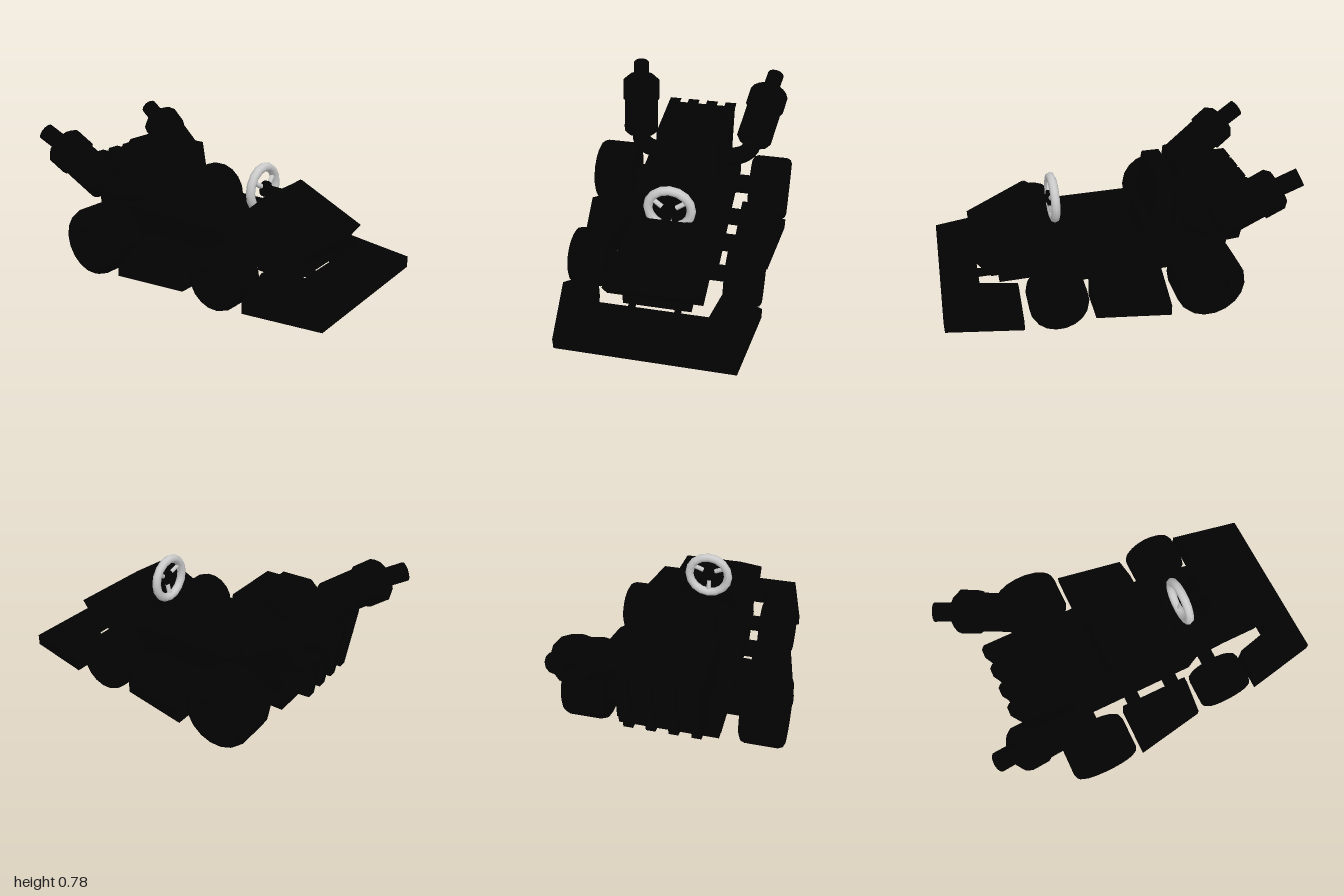
import * as THREE from 'three';

const dark = new THREE.MeshStandardMaterial({ color: 0x020202, flatShading: true });
const darkSmooth = new THREE.MeshStandardMaterial({ color: 0x020202 });
const grey = new THREE.MeshStandardMaterial({ color: 0xcccccc });
const V = (x, y, z) => new THREE.Vector3(x, y, z);

function add(parent, name, geometry, material = dark) {
  const mesh = new THREE.Mesh(geometry, material);
  mesh.name = name;
  parent.add(mesh);
  return mesh;
}

// Box given by its limits on each axis
function box(parent, name, [x0, x1], [y0, y1], [z0, z1]) {
  const g = new THREE.BoxGeometry(Math.abs(x1 - x0), y1 - y0, z1 - z0);
  g.translate((x0 + x1) / 2, (y0 + y1) / 2, (z0 + z1) / 2);
  return add(parent, name, g);
}

// Capped skin through rings with equal point counts, always turned outwards
function loft(rings) {
  const tris = [], n = rings[0].length, last = rings.length - 1;
  for (let i = 0; i < last; i++) {
    for (let j = 0; j < n; j++) {
      const k = (j + 1) % n, a = rings[i], b = rings[i + 1];
      tris.push([a[j], a[k], b[k]], [a[j], b[k], b[j]]);
    }
  }
  for (let j = 1; j < n - 1; j++) {
    tris.push([rings[0][0], rings[0][j + 1], rings[0][j]]);
    tris.push([rings[last][0], rings[last][j], rings[last][j + 1]]);
  }
  const vec = (p) => V(...p);
  const volume = tris.reduce((s, [a, b, c]) => s + vec(a).dot(vec(b).cross(vec(c))), 0);
  const flat = tris.flatMap(([a, b, c]) => (volume < 0 ? [a, c, b] : [a, b, c])).flat();
  const g = new THREE.BufferGeometry();
  g.setAttribute('position', new THREE.Float32BufferAttribute(flat, 3));
  g.computeVertexNormals();
  return g;
}

// Side profile of [z, y, halfWidth] spanned across the car
const across = (profile) => loft([-1, 1].map((s) => profile.map(([z, y, w]) => [s * w, y, z])));

// Cylinder between two points
function rod(parent, name, a, b, r0, r1 = r0, sides = 12, material = dark) {
  const d = b.clone().sub(a);
  const m = add(parent, name, new THREE.CylinderGeometry(r1, r0, d.length(), sides), material);
  m.position.copy(a).addScaledVector(d, 0.5);
  m.quaternion.setFromUnitVectors(V(0, 1, 0), d.normalize());
  return m;
}

// Tyre with a recessed hub on its outer face
function wheel(parent, name, s, x0, x1, r, z) {
  const h = (x1 - x0) / 2;
  const profile = [
    [0, -h + 0.03], [0.4 * r, -h + 0.03], [0.48 * r, -h], [0.84 * r, -h], [0.95 * r, -h + 0.01], [r, -h + 0.035],
    [r, h - 0.035], [0.95 * r, h - 0.01], [0.84 * r, h], [0.5 * r, h], [0.43 * r, h - 0.04],
    [0.26 * r, h - 0.04], [0.22 * r, h - 0.015], [0, h - 0.015],
  ].map((p) => new THREE.Vector2(...p));
  const m = add(parent, name, new THREE.LatheGeometry(profile, 18));
  m.rotation.z = -s * Math.PI / 2;
  m.position.set(s * (x0 + x1) / 2, r, z);
}

export function createModel() {
  const car = new THREE.Group();
  car.name = 'goKart';

  // Open cockpit tub with a floor recessed between its rims
  const body = new THREE.Group();
  body.name = 'body';
  car.add(body);
  box(body, 'floor', [-0.2, 0.2], [0.15, 0.18], [-0.64, 0.3]);
  for (const s of [-1, 1]) {
    const wall = [[0.19, 0.14, 0.44], [0.28, 0.12, 0.26], [0.28, 0.12, -0.655]];
    add(body, 'tubWall', loft(wall.map(([w, y, z], i) => {
      const top = i === 0 ? w : 0.3, inner = i === 0 ? 0.12 : 0.19;
      return [[s * w, y, z], [s * top, 0.34, z], [s * inner, 0.34, z], [s * inner, y, z]];
    })));
    // Cowl flank falling from the hood to the tub edge
    add(body, 'cowlFlank', loft([
      [[s * 0.17, 0.56, 0.455], [s * 0.3, 0.34, 0.24], [s * 0.26, 0.225, 0.5]],
      [[s * 0.12, 0.56, 0.455], [s * 0.2, 0.34, 0.24], [s * 0.15, 0.225, 0.5]],
    ]));
  }
  add(body, 'hood', across([
    [0.46, 0.56, 0.17], [0.8, 0.34, 0.26], [0.715, 0.225, 0.26],
    [0.45, 0.225, 0.26], [0.42, 0.34, 0.24],
  ]));
  box(body, 'dashFloor', [-0.18, 0.18], [0.15, 0.25], [0.28, 0.45]);
  box(body, 'frontChassis', [-0.19, 0.19], [0.12, 0.23], [0.42, 0.67]);
  for (const s of [-1, 1]) box(body, 'bumperStrut', [s * 0.11, s * 0.14], [0.14, 0.18], [0.65, 0.8]);

  // Seat and engine
  add(body, 'seatBack', across([
    [-0.18, 0.17, 0.18], [-0.2, 0.34, 0.18], [-0.23, 0.4, 0.18], [-0.265, 0.66, 0.18],
    [-0.37, 0.66, 0.18], [-0.37, 0.17, 0.18],
  ]));
  box(body, 'seatBase', [-0.18, 0.18], [0.16, 0.23], [-0.2, 0.1]);
  box(body, 'engineBlock', [-0.22, 0.22], [0.21, 0.59], [-0.68, -0.36]);
  add(body, 'engineCover', across([
    [-0.385, 0.7, 0.15], [-0.56, 0.7, 0.15], [-0.6, 0.63, 0.18], [-0.62, 0.56, 0.18], [-0.385, 0.56, 0.18],
  ]));
  box(body, 'rearDeck', [-0.29, 0.29], [0.16, 0.34], [-0.655, -0.4]);
  for (const z of [-0.43, -0.53, -0.63]) box(body, 'floorSlat', [-0.2, 0.2], [0.12, 0.17], [z - 0.025, z + 0.025]);

  // Ribbed rear grille
  add(body, 'grillePlate', across([
    [-0.66, 0.575, 0.21], [-0.805, 0.565, 0.21], [-0.755, 0.22, 0.21], [-0.64, 0.22, 0.21],
  ]));
  for (let i = 0; i < 4; i++) {
    const rib = add(body, 'grilleRib', across([
      [-0.67, 0.59, 0.036], [-0.81, 0.59, 0.036], [-0.83, 0.565, 0.026],
      [-0.775, 0.21, 0.026], [-0.64, 0.21, 0.036],
    ]));
    rib.position.x = (i - 1.5) * 0.123;
  }

  // U-shaped front bumper, swept from arm to arm
  const section = (s, out, ridge, inn, zs) => [
    [s * out, 0.06, zs[0]], [s * out, 0.125, zs[0]], [s * ridge, 0.22, zs[1]],
    [s * inn, 0.22, zs[2]], [s * inn, 0.06, zs[2]],
  ];
  const armEnd = (s) => section(s, 0.56, 0.39, 0.35, [0.58, 0.58, 0.58]);
  const corner = (s) => section(s, 0.48, 0.33, 0.3, [1, 0.83, 0.785]);
  add(car, 'frontBumper', loft([armEnd(1), corner(1), corner(-1), armEnd(-1)]));

  for (const s of [-1, 1]) {
    // Wheels and axles
    wheel(car, 'frontWheel', s, 0.335, 0.55, 0.165, 0.38);
    wheel(car, 'rearWheel', s, 0.375, 0.625, 0.198, -0.455);
    rod(car, 'frontAxle', V(s * 0.12, 0.165, 0.38), V(s * 0.37, 0.165, 0.38), 0.048);
    rod(car, 'rearAxle', V(s * 0.2, 0.2, -0.455), V(s * 0.42, 0.2, -0.455), 0.06);

    // Side pod with two struts
    const pod = (z, w) => [
      [s * 0.35, 0.06, z], [s * w, 0.06, z], [s * w, 0.125, z], [s * 0.39, 0.23, z], [s * 0.35, 0.23, z],
    ];
    add(car, 'sidePod', loft([pod(0.185, 0.555), pod(-0.225, 0.625)]));
    for (const z of [-0.145, 0.11]) box(car, 'podStrut', [s * 0.26, s * 0.37], [0.13, 0.2], [z - 0.04, z + 0.04]);

    // Exhaust: elbow, muffler, collar and tail pipe
    const exhaust = new THREE.Group();
    exhaust.name = 'exhaust';
    car.add(exhaust);
    const start = V(s * 0.368, 0.472, -0.56), end = V(s * 0.43, 0.675, -0.85);
    const at = (t) => start.clone().lerp(end, t);
    const elbow = new THREE.CatmullRomCurve3([V(s * 0.19, 0.405, -0.45), V(s * 0.28, 0.415, -0.45), V(s * 0.345, 0.435, -0.49), at(0.1)]);
    add(exhaust, 'elbow', new THREE.TubeGeometry(elbow, 12, 0.057, 10), darkSmooth);
    rod(exhaust, 'mufflerBase', at(-0.04), at(0.02), 0.095, 0.112);
    rod(exhaust, 'muffler', at(0.02), at(0.74), 0.112);
    rod(exhaust, 'collar', at(0.66), at(0.97), 0.124);
    rod(exhaust, 'collarCap', at(0.97), at(1.05), 0.124, 0.095);
    rod(exhaust, 'tailPipe', at(0.95), V(s * 0.455, 0.742, -0.972), 0.053);
  }

  // Steering wheel with three spokes and its column
  const steering = new THREE.Group();
  steering.name = 'steering';
  steering.position.set(0, 0.525, 0.315);
  car.add(steering);
  add(steering, 'steeringRing', new THREE.TorusGeometry(0.122, 0.026, 8, 16), grey);
  for (const a of [Math.PI / 6, Math.PI * 5 / 6, -Math.PI / 2]) {
    const c = Math.cos(a), n = Math.sin(a);
    rod(steering, 'spoke', V(c * 0.045, n * 0.045, 0.015), V(c * 0.11, n * 0.11, 0), 0.014, 0.014, 6, grey);
  }
  rod(steering, 'hub', V(0, 0, 0.005), V(0, 0, 0.03), 0.045);
  rod(steering, 'column', V(0, 0, 0.01), V(0, -0.005, 0.16), 0.025);
  return car;
}
